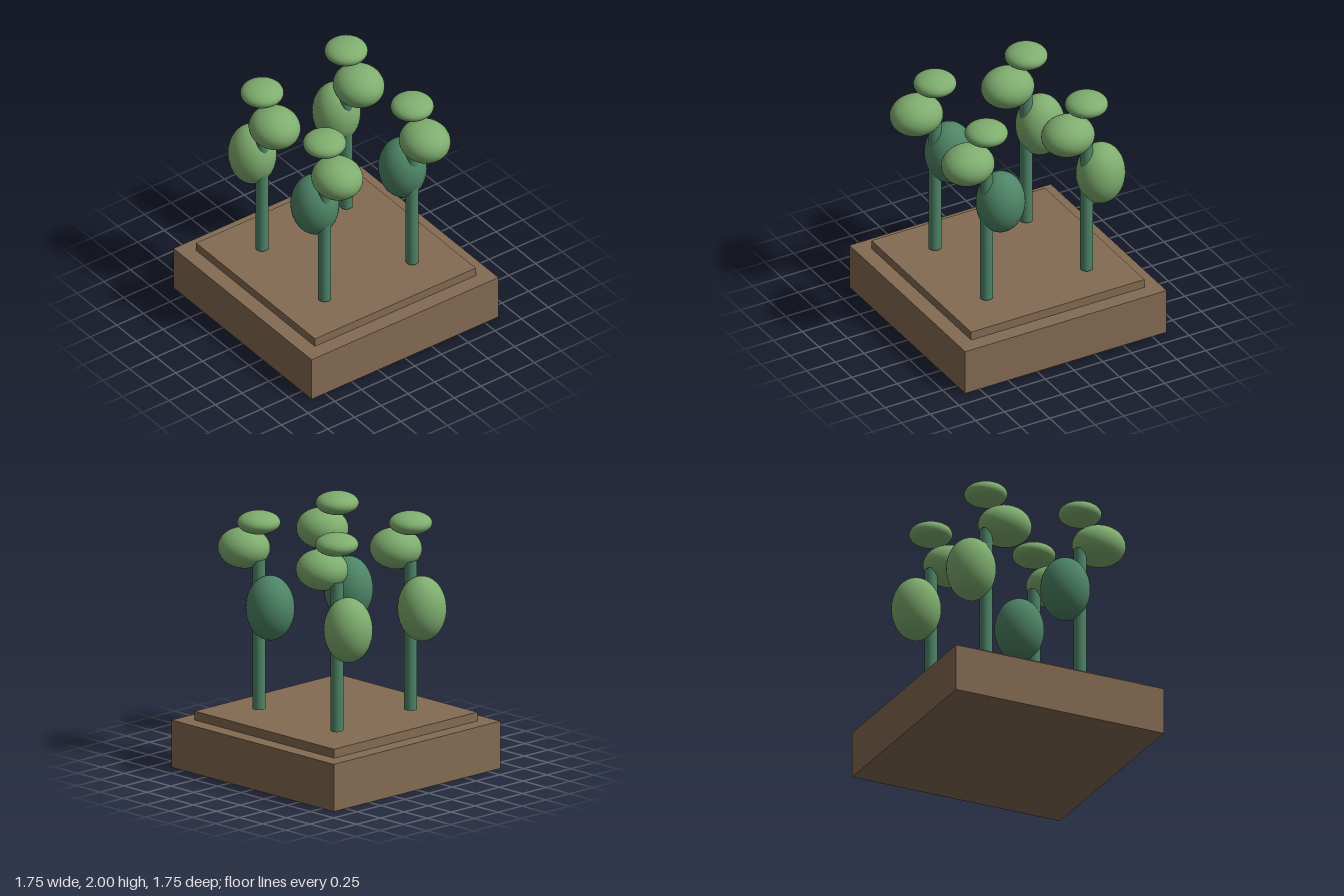
import * as THREE from 'three';
import { mergeVertices } from 'three/addons/utils/BufferGeometryUtils.js';

const mat = (name, color) => {
  const m = new THREE.MeshStandardMaterial({ color });
  m.name = name;
  return m;
};

export function createModel() {
  const soil = mat('earth brown', 0x846b52);
  const leaf = mat('light leaf green', 0x7fae6f);
  const stemGreen = mat('deep stem green', 0x4e8567);

  const model = new THREE.Group();
  model.name = 'plantedPlot';

  const add = (parent, name, geometry, material, x, y, z) => {
    const mesh = new THREE.Mesh(geometry, material);
    mesh.name = name;
    mesh.position.set(x, y, z);
    parent.add(mesh);
  };

  // Two-tier square base
  add(model, 'baseBlock', new THREE.BoxGeometry(1.75, 0.37, 1.75), soil, 0, 0.185, 0);
  add(model, 'soilBed', new THREE.BoxGeometry(1.506, 0.07, 1.506), soil, 0, 0.405, 0);

  // Stem whose normals blend softly over its end caps
  let stem = new THREE.CylinderGeometry(0.049, 0.049, 1.16, 32);
  stem.deleteAttribute('normal');
  stem.deleteAttribute('uv');
  stem = mergeVertices(stem);
  stem.computeVertexNormals();

  // Foliage ellipsoids
  const ellipsoid = (rx, ry, rz) => new THREE.SphereGeometry(1, 40, 24).scale(rx, ry, rz);
  const lower = ellipsoid(0.19, 0.25, 0.181);
  const middle = ellipsoid(0.207, 0.155, 0.19);
  const crown = ellipsoid(0.164, 0.085, 0.164);

  // Four plants: name, x, z, lower foliage colour
  const plants = [
    ['frontRightPlant', -0.39, 0.405, leaf],
    ['backRightPlant', -0.44, -0.42, leaf],
    ['frontLeftPlant', 0.403, 0.405, stemGreen],
    ['backLeftPlant', 0.42, -0.403, stemGreen],
  ];
  for (const [name, x, z, lowerMaterial] of plants) {
    const plant = new THREE.Group();
    plant.name = name;
    plant.position.set(x, 0, z);
    add(plant, 'stem', stem, stemGreen, 0, 1.04, 0);
    add(plant, 'lowerFoliage', lower, lowerMaterial, -0.123, 1.27, 0);
    add(plant, 'middleFoliage', middle, leaf, 0.16, 1.686, 0);
    add(plant, 'crownFoliage', crown, leaf, 0, 1.915, 0);
    model.add(plant);
  }
  return model;
}
